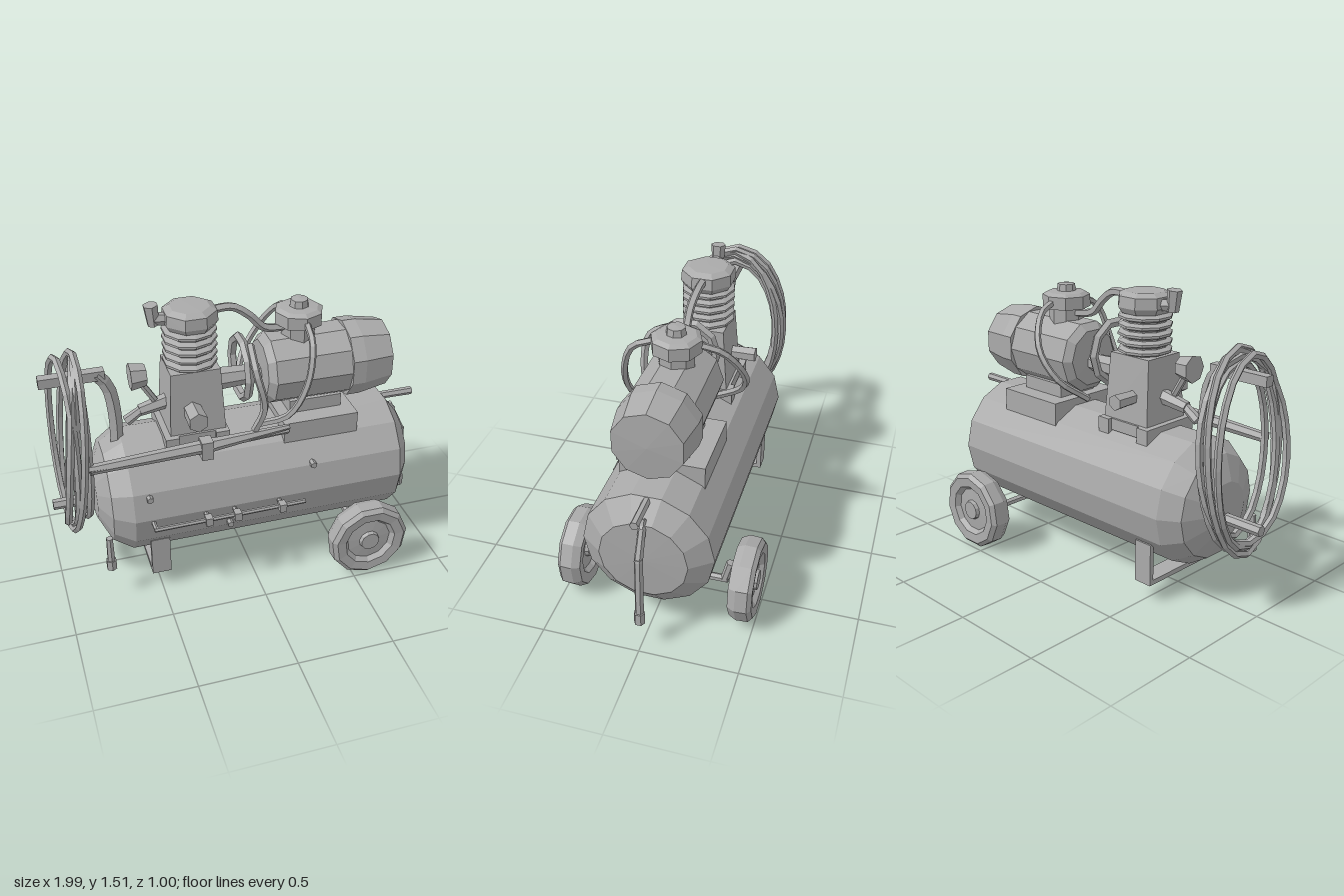
import * as THREE from 'three';

const V = (a) => new THREE.Vector3(...a);

export function createModel() {
  const model = new THREE.Group();
  const grey = new THREE.MeshStandardMaterial({ color: 0xaaaaaa });
  grey.flatShading = true;

  const add = (name, geo, pos = [0, 0, 0], rot = [0, 0, 0]) => {
    const m = new THREE.Mesh(geo, grey);
    m.name = name;
    m.position.set(...pos);
    m.rotation.set(...rot);
    model.add(m);
    return m;
  };
  // Box given by its minimum and maximum corners
  const box = (name, a, b) => add(name,
    new THREE.BoxGeometry(b[0] - a[0], b[1] - a[1], b[2] - a[2]),
    [(a[0] + b[0]) / 2, (a[1] + b[1]) / 2, (a[2] + b[2]) / 2]);
  const lathe = (name, pts, sides, pos, rot) =>
    add(name, new THREE.LatheGeometry(pts.map((p) => new THREE.Vector2(...p)), sides), pos, rot);
  // Straight rod between two points
  const rod = (name, a, b, r1, r2 = r1, sides = 6) => {
    const p = V(a), q = V(b), d = q.clone().sub(p);
    const m = add(name, new THREE.CylinderGeometry(r2, r1, d.length(), sides));
    m.position.copy(p).add(q).multiplyScalar(0.5);
    m.quaternion.setFromUnitVectors(new THREE.Vector3(0, 1, 0), d.normalize());
    return m;
  };
  const hose = (name, pts, r, segs = 14, closed = false) => add(name,
    new THREE.TubeGeometry(new THREE.CatmullRomCurve3(pts.map(V), closed), segs, r, 5, closed));
  // Box narrowed towards the top
  const taper = (name, w, h, d, sx, sz, pos) => {
    const g = new THREE.BoxGeometry(w, h, d), p = g.attributes.position;
    for (let i = 0; i < p.count; i++) {
      if (p.getY(i) > 0) { p.setX(i, p.getX(i) * sx); p.setZ(i, p.getZ(i) * sz); }
    }
    return add(name, g, pos);
  };
  const alongX = [0, 0, -Math.PI / 2];

  // Air tank with domed ends
  lathe('tank', [[0, -0.79], [0.14, -0.788], [0.265, -0.73], [0.328, -0.63], [0.328, 0.8],
    [0.22, 0.88], [0, 0.888]], 14, [0, 0.5, 0.003], alongX);

  // Wheels, axle and its upturned end
  const tyre = [[0, -0.05], [0.05, -0.05], [0.055, -0.03], [0.12, -0.03], [0.14, -0.055], [0.195, -0.06],
    [0.215, -0.02], [0.212, 0.04], [0.19, 0.06], [0.14, 0.055], [0.12, 0.03], [0.055, 0.035],
    [0.05, 0.055], [0, 0.055]];
  for (const s of [1, -1]) {
    lathe('wheel', tyre, 11, [0.58, 0.22, 0.44 * s], [s * Math.PI / 2, 0, 0]);
  }
  rod('axle', [0.58, 0.185, -0.34], [0.58, 0.185, 0.33], 0.02);
  rod('axleEnd', [0.58, 0.18, -0.32], [0.58, 0.3, -0.35], 0.022);
  rod('axleEnd', [0.58, 0.18, 0.31], [0.58, 0.26, 0.34], 0.022);

  // U-shaped front foot
  box('footBar', [-0.55, 0.1, -0.27], [-0.45, 0.125, 0.27]);
  for (const s of [1, -1]) {
    box('footLeg', [-0.55, 0.1, s * 0.26 - 0.012], [-0.45, 0.32, s * 0.26 + 0.012]);
  }

  // Towing handle and hanging rod at the wheel end
  rod('handle', [0.72, 0.8, 0], [0.985, 0.8, 0], 0.02, 0.022);
  rod('handleUpper', [0.86, 0.74, 0], [0.95, 0.55, 0], 0.018, 0.022);
  rod('handleLower', [0.945, 0.57, 0], [0.965, 0.2, 0], 0.022, 0.022);
  rod('handleTip', [0.965, 0.24, 0], [0.967, 0.175, 0], 0.028);
  rod('handleLink', [0.8, 0.78, 0], [0.89, 0.7, 0], 0.015);

  // Hose hanger, lower stub and drain
  box('hangerArm', [-1, 1.16, -0.025], [-0.68, 1.21, 0.025]);
  hose('hangerPost', [[-0.72, 1.19, 0], [-0.67, 1.12, 0], [-0.645, 0.97, 0], [-0.645, 0.74, 0]], 0.035, 8);
  rod('hoseStub', [-1, 0.455, 0], [-0.77, 0.455, 0], 0.028);
  rod('drain', [-0.76, 0.38, 0.26], [-0.76, 0.19, 0.26], 0.018, 0.022);
  rod('drainCap', [-0.76, 0.24, 0.26], [-0.76, 0.185, 0.26], 0.028);

  // Coiled air hose
  const coils = [[-0.87, 0.05, 0.02, 0.5, 0.28], [-0.91, 0.01, 0.03, 0.47, 0.27],
    [-0.85, 0.03, -0.03, 0.49, 0.25], [-0.88, 0.05, -0.04, 0.45, 0.28], [-0.83, 0.01, 0.01, 0.43, 0.24]];
  coils.forEach(([x, lean, twist, ry, rz], i) => {
    const pts = [];
    for (let k = 0; k < 12; k++) {
      const t = k * Math.PI / 6;
      pts.push([x + lean * Math.sin(t) + twist * Math.cos(t),
        0.81 + 0.01 * (i % 2) + ry * Math.sin(t), rz * Math.cos(t)]);
    }
    hose('hoseCoil', pts, 0.019, 24, true);
  });
  hose('hoseLead', [[-0.84, 0.82, 0.26], [-0.5, 0.81, 0.25], [-0.2, 0.82, 0.24], [0.1, 0.83, 0.23], [0.2, 0.82, 0.21]], 0.017);
  rod('sprayLance', [-0.82, 0.81, 0.25], [-0.2, 0.83, 0.24], 0.026, 0.036);
  rod('lanceTail', [-0.2, 0.83, 0.24], [0.2, 0.855, 0.23], 0.034, 0.014);
  box('lanceGrip', [-0.27, 0.77, 0.21], [-0.21, 0.87, 0.28]);

  // Pump base and crankcase
  for (const x of [-0.39, -0.13]) box('pumpFoot', [x - 0.035, 0.74, -0.17], [x + 0.035, 0.85, 0.17]);
  box('pumpBase', [-0.4, 0.79, -0.15], [-0.12, 0.85, 0.15]);
  taper('crankcase', 0.29, 0.36, 0.28, 0.87, 0.8, [-0.25, 1.0, 0]);
  rod('frontCap', [-0.275, 0.975, 0.1], [-0.275, 0.975, 0.25], 0.048, 0.052);
  rod('rearCap', [-0.285, 0.98, -0.1], [-0.285, 0.98, -0.25], 0.035, 0.04);

  // Finned cylinder and head
  const fins = [[0, 1.15], [0.11, 1.15]];
  for (let i = 0; i < 5; i++) {
    const y = 1.18 + i * 0.042;
    fins.push([0.11, y], [0.137, y + 0.012], [0.137, y + 0.024], [0.11, y + 0.036]);
  }
  fins.push([0, 1.4]);
  lathe('finnedCylinder', fins, 10, [-0.25, 0, 0]);
  lathe('cylinderHead', [[0, 1.385], [0.12, 1.385], [0.14, 1.415], [0.135, 1.47], [0.1, 1.488], [0, 1.49]],
    8, [-0.245, 0, 0], [0, Math.PI / 8, 0]);
  rod('intakeElbow', [-0.33, 1.43, 0], [-0.43, 1.44, 0], 0.032);
  rod('intakeFilter', [-0.425, 1.41, 0], [-0.435, 1.515, 0], 0.03, 0.038);

  // Pressure gauge and its valve
  rod('gauge', [-0.56, 1.15, 0.01], [-0.48, 1.15, 0.01], 0.07, 0.055, 7);
  rod('gaugeStem', [-0.5, 1.1, 0.01], [-0.44, 1.0, 0.01], 0.018);
  rod('valveArm', [-0.37, 0.98, 0], [-0.52, 0.95, 0.01], 0.04, 0.03);
  rod('valveLever', [-0.5, 0.96, 0.01], [-0.59, 0.9, 0.01], 0.022, 0.028);

  // Drive coupling and guard ring
  rod('driveShaft', [-0.14, 1.06, 0], [0.16, 1.06, 0], 0.06, 0.045, 7);
  const ring = add('guardRing', new THREE.TorusGeometry(0.15, 0.024, 5, 10), [0, 1.13, 0.04], [0, Math.PI / 2, 0]);
  ring.scale.set(1, 1.05, 1);

  // Motor on its mount
  box('motorMount', [0.18, 0.73, -0.215], [0.58, 0.86, 0.215]);
  lathe('motor', [[0, 0.11], [0.15, 0.115], [0.188, 0.15], [0.193, 0.55], [0, 0.55]], 10, [0, 1.083, 0], alongX);
  lathe('motorCover', [[0, 0.545], [0.205, 0.55], [0.205, 0.62], [0.178, 0.775], [0, 0.785]], 10,
    [0, 1.083, 0], [Math.PI / 10, 0, -Math.PI / 2]);
  box('motorSaddle', [0.24, 0.84, -0.12], [0.52, 0.93, 0.12]);

  // Air filter above the motor
  lathe('airFilter', [[0, 1.23], [0.09, 1.23], [0.09, 1.32], [0.125, 1.325], [0.125, 1.39], [0.1, 1.405],
    [0.05, 1.41], [0.045, 1.445], [0, 1.45]], 8, [0.315, 0, 0]);

  // Pipes and hoses
  hose('outletPipe', [[-0.14, 1.45, 0], [-0.03, 1.45, 0], [0.05, 1.4, 0.01], [0.13, 1.32, 0.01], [0.24, 1.3, 0]], 0.022);
  hose('frontHose', [[0.32, 1.36, 0.1], [0.31, 1.3, 0.22], [0.27, 1.12, 0.28], [0.18, 0.95, 0.27], [0.06, 0.88, 0.2]], 0.018);
  hose('rearHose', [[0.31, 1.36, -0.1], [0.28, 1.32, -0.21], [0.2, 1.17, -0.3], [0.1, 1.02, -0.27], [0.03, 0.9, -0.12]], 0.018);
  hose('sideHose', [[0.03, 1.28, 0.1], [0.02, 1.2, 0.23], [0.06, 1.0, 0.25], [0.02, 0.86, 0.22]], 0.02);

  // Rail along the tank front
  rod('rail', [-0.55, 0.48, 0.385], [0.25, 0.475, 0.37], 0.012);
  for (const x of [-0.54, -0.27, -0.12, 0.12]) {
    rod('railPost', [x, 0.48, 0.31], [x, 0.48, 0.385], 0.012);
    if (x > -0.5) box('railClamp', [x - 0.018, 0.455, 0.36], [x + 0.018, 0.5, 0.405]);
  }
  for (const [x, y, z] of [[-0.55, 0.62, 0.29], [0.31, 0.65, 0.28], [-0.14, 0.385, 0.3]]) {
    rod('tankPlug', [x, y, z - 0.03], [x, y, z + 0.04], 0.017);
  }
  return model;
}
